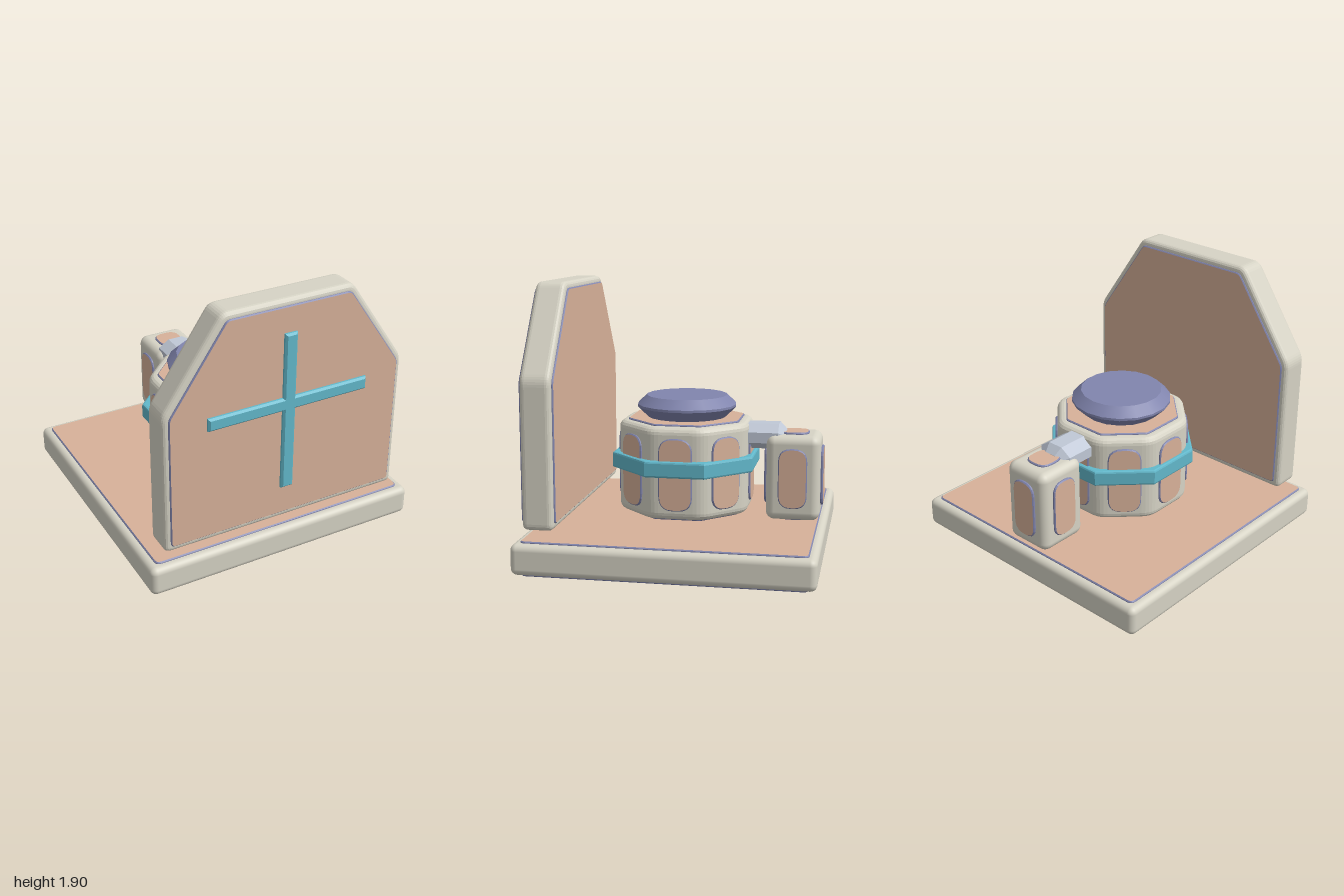
import * as THREE from 'three';
import { RoundedBoxGeometry } from 'three/addons/geometries/RoundedBoxGeometry.js';

const mat = (name, color) => {
  const m = new THREE.MeshStandardMaterial({ color });
  m.name = name;
  return m;
};

// Closed outline through the points, with corners rounded by r
function outline(points, r = 0) {
  const pts = points.map(([x, y]) => new THREE.Vector2(x, y));
  const shape = new THREE.Shape();
  pts.forEach((p, i) => {
    const prev = pts[(i + pts.length - 1) % pts.length];
    const next = pts[(i + 1) % pts.length];
    const a = p.clone().add(prev.clone().sub(p).setLength(r));
    const b = p.clone().add(next.clone().sub(p).setLength(r));
    if (i === 0) shape.moveTo(a.x, a.y);
    else shape.lineTo(a.x, a.y);
    if (r > 0) shape.quadraticCurveTo(p.x, p.y, b.x, b.y);
  });
  shape.closePath();
  return shape;
}

const rect = (w, h, r) =>
  outline([[-w / 2, -h / 2], [w / 2, -h / 2], [w / 2, h / 2], [-w / 2, h / 2]], r);

function octagon(ax, ay = ax, r = 0) {
  const k = 1 / Math.cos(Math.PI / 8);
  const pts = [];
  for (let i = 0; i < 8; i++) {
    const t = (i + 0.5) * Math.PI / 4;
    pts.push([ax * k * Math.cos(t), ay * k * Math.sin(t)]);
  }
  return outline(pts, r);
}

// Bevelled slab of the given total depth, centred on z = 0
function slab(shape, depth, bevel, bevelSegments = 4) {
  const geo = new THREE.ExtrudeGeometry(shape, {
    depth: depth - 2 * bevel, bevelEnabled: true, bevelThickness: bevel,
    bevelSize: bevel, bevelOffset: -bevel, bevelSegments, curveSegments: 5,
  });
  return geo.translate(0, 0, bevel - depth / 2);
}

export function createModel() {
  const cream = mat('cream casing', 0xd6d3c5);
  const tan = mat('tan panel', 0xd7b199);
  const violet = mat('violet trim', 0x8185ae);
  const teal = mat('teal accent', 0x62b8cb);
  const steel = mat('pale steel', 0xc0c8d6);

  const model = new THREE.Group();
  const add = (name, geo, material, x = 0, y = 0, z = 0, rx = 0, ry = 0) => {
    const mesh = new THREE.Mesh(geo, material);
    mesh.name = name;
    mesh.position.set(x, y, z);
    mesh.rotation.set(rx, ry, 0);
    model.add(mesh);
    return mesh;
  };
  // Raised panel: tan face, violet bevelled rim, half sunk into the casing
  const panel = (name, shape, ...place) =>
    add(name, slab(shape, 0.03, 0.007, 1), [tan, violet], ...place);
  const UP = -Math.PI / 2, DOWN = Math.PI / 2;

  // Base
  add('base', new RoundedBoxGeometry(2, 0.21, 2, 4, 0.045), cream, 0, 0.12, 0);
  panel('baseTopPanel', rect(1.89, 1.89, 0.04), 0, 0.222, 0, UP);
  panel('baseBottomPanel', rect(1.89, 1.89, 0.04), 0, 0.015, 0, DOWN);

  // Upright front board with sloped shoulders
  const board = (w, bottom, top, shoulder, topW, r) => outline([
    [-w, bottom], [w, bottom], [w, shoulder], [topW, top], [-topW, top], [-w, shoulder],
  ], r);
  add('frontBoard', slab(board(0.88, 0.29, 1.9, 1.29, 0.465, 0.045), 0.21, 0.035), cream, 0, 0, 0.842);
  const face = board(0.84, 0.335, 1.857, 1.275, 0.442, 0.03);
  panel('boardFrontPanel', face, 0, 0, 0.944);
  panel('boardBackPanel', face, 0, 0, 0.741);

  // Cross on the board
  const t = 0.045, c = 1.18;
  add('cross', slab(outline([
    [-t, 0.548], [t, 0.548], [t, c - t], [0.582, c - t], [0.582, c + t], [t, c + t],
    [t, 1.678], [-t, 1.678], [-t, c + t], [-0.582, c + t], [-0.582, c - t], [-t, c - t],
  ]), 0.04, 0.013, 1), teal, 0, 0, 0.965);

  // Eight-sided drum with a panel on every side
  add('drum', slab(octagon(0.455, 0.455, 0.07), 0.64, 0.05), cream, 0, 0.61, 0, UP);
  panel('drumTopPanel', octagon(0.39, 0.39, 0.02), 0, 0.927, 0, UP);
  panel('drumBottomPanel', octagon(0.39, 0.39, 0.02), 0, 0.292, 0, DOWN);
  for (let i = 0; i < 8; i++) {
    const a = i * Math.PI / 4;
    panel('drumSidePanel', rect(0.232, 0.5, 0.1),
      0.454 * Math.sin(a), 0.607, 0.454 * Math.cos(a), 0, a);
  }
  add('belt', slab(octagon(0.495), 0.112, 0.014, 2), teal, 0, 0.647, 0, UP);

  // Double-tapered lid
  const lid = (name, rTop, rBottom, y0, y1) =>
    add(name, new THREE.CylinderGeometry(rTop, rBottom, y1 - y0, 18), violet, 0, (y0 + y1) / 2, 0);
  lid('lidLower', 0.35, 0.265, 0.93, 1.015);
  lid('lidRim', 0.35, 0.35, 1.015, 1.032);
  lid('lidUpper', 0.285, 0.35, 1.032, 1.095);

  // Rear pod
  const pz = -0.768;
  add('rearPod', new RoundedBoxGeometry(0.355, 0.595, 0.375, 4, 0.06), cream, 0, 0.548, pz);
  const podSide = rect(0.2, 0.42, 0.09), podEnd = rect(0.19, 0.2, 0.08);
  for (const s of [-1, 1]) {
    panel('podSidePanel', podSide, s * 0.178, 0.55, pz, 0, s * Math.PI / 2);
    panel('podEndPanel', rect(0.19, 0.42, 0.09), 0, 0.55, pz + s * 0.19, 0, s > 0 ? 0 : Math.PI);
    panel('podCapPanel', podEnd, 0, 0.548 + s * 0.296, pz, s > 0 ? UP : DOWN);
  }

  // Faceted link between drum and pod
  add('link', slab(octagon(0.137, 0.088), 0.33, 0.05, 1), steel, 0, 0.822, -0.545);

  return model;
}
